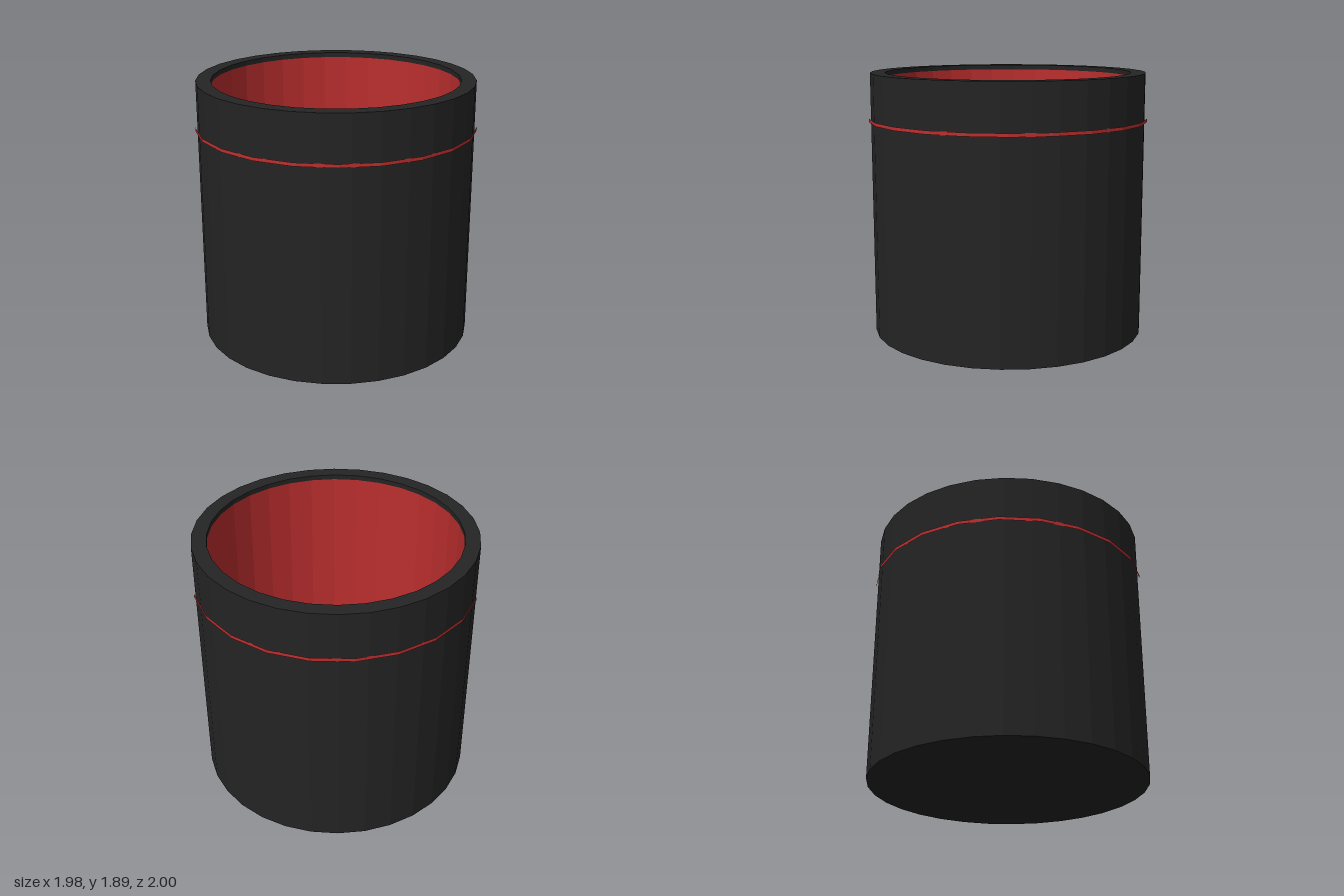
import * as THREE from 'three';

export function createModel() {
  const group = new THREE.Group();
  const black = new THREE.MeshStandardMaterial({ name: 'black', color: 0x242424, flatShading: true });
  const red = new THREE.MeshStandardMaterial({ name: 'red', color: 0xbb2e2e, flatShading: true });

  const add = (name, geometry, material) => {
    const mesh = new THREE.Mesh(geometry, material);
    mesh.name = name;
    group.add(mesh);
    return mesh;
  };
  // faceted surface of revolution; points given as [radius, height], outside on the right going up
  const turned = (points, sides) =>
    new THREE.LatheGeometry(points.map(([r, y]) => new THREE.Vector2(r, y)), sides);

  const outer = 0.985, inner = 0.88, height = 1.89;
  const linerTop = height - 0.035, floor = 0.1;

  // closed base, outer wall, flat rim and the dark lip inside it
  add('shell', turned([[0, 0], [outer, 0], [outer, height], [inner, height], [inner, linerTop]], 32), black);

  // red inside wall and floor
  add('liner', turned([[inner, linerTop], [inner, floor], [0, floor]], 32), red);

  // thin open band around the outside, with fewer sides than the shell
  add('band', turned([[1, 1.541], [1, 1.566]], 22), red);

  return group;
}
